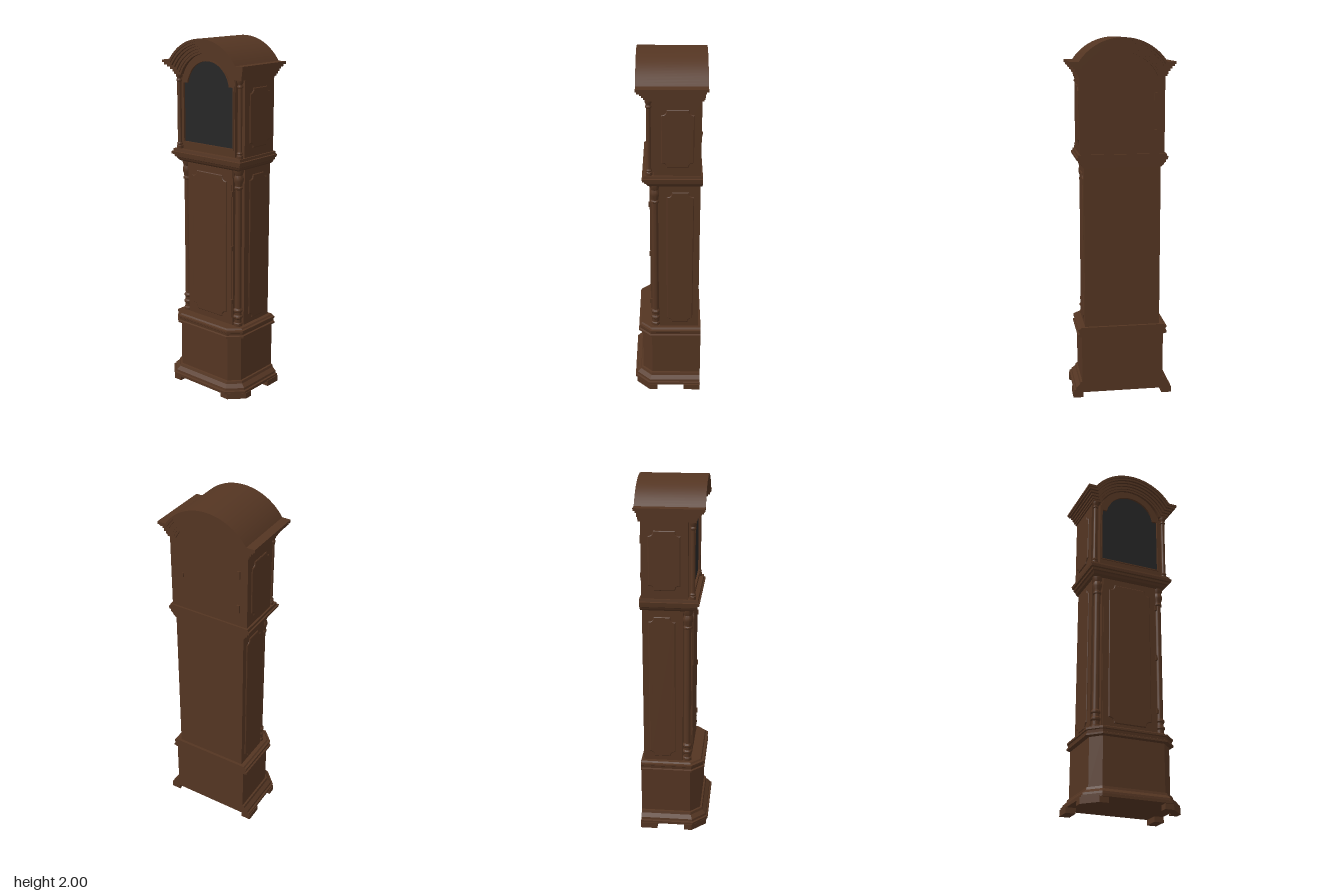
import * as THREE from 'three';
import { toCreasedNormals } from 'three/addons/utils/BufferGeometryUtils.js';

const wood = new THREE.MeshStandardMaterial({ color: 0x543522 });
wood.name = 'walnutWood';
const glass = new THREE.MeshStandardMaterial({ color: 0x262626 });
glass.name = 'darkGlass';

export function createModel() {
  const root = new THREE.Group();
  root.name = 'longcaseClock';

  const add = (name, geo, mat = wood) => {
    const m = new THREE.Mesh(geo, mat);
    m.name = name;
    root.add(m);
    return m;
  };
  // Box given by its limits
  const box = (name, x0, x1, y0, y1, z0, z1, mat) => add(name,
    new THREE.BoxGeometry(x1 - x0, y1 - y0, z1 - z0)
      .translate((x0 + x1) / 2, (y0 + y1) / 2, (z0 + z1) / 2), mat);
  // Shape in the xy plane, extruded from z0 to z1
  const slab = (name, shape, z0, z1, mat) => add(name, toCreasedNormals(
    new THREE.ExtrudeGeometry(shape, { depth: z1 - z0, bevelEnabled: false, curveSegments: 24 })
      .translate(0, 0, z0), 0.5), mat);
  const polygon = pts => new THREE.Shape(pts.map(p => new THREE.Vector2(p[0], p[1])));

  // Stack of sections with optional chamfered front corners; level = [y, growth]
  const stack = (name, w, front, back, chamfer, levels) => {
    const rings = levels.map(([y, g]) => {
      const W = w + g, F = front + g, c = chamfer ? chamfer + g * 0.586 : 0.0001;
      return [[-W, back], [-W, F - c], [-W + c, F], [W - c, F], [W, F - c], [W, back]]
        .map(p => new THREE.Vector3(p[0], y, p[1]));
    });
    const v = [];
    const tri = (a, b, c) => [a, b, c].forEach(p => v.push(p.x, p.y, p.z));
    for (let k = 0; k < rings.length - 1; k++) {
      const lo = rings[k], hi = rings[k + 1];
      for (let i = 0; i < 6; i++) {
        const j = (i + 1) % 6;
        tri(lo[i], lo[j], hi[j]);
        tri(lo[i], hi[j], hi[i]);
      }
    }
    const bottom = rings[0], top = rings[rings.length - 1];
    for (let i = 1; i < 5; i++) {
      tri(top[0], top[i], top[i + 1]);
      tri(bottom[0], bottom[i + 1], bottom[i]);
    }
    const geo = new THREE.BufferGeometry();
    geo.setAttribute('position', new THREE.Float32BufferAttribute(v, 3));
    geo.computeVertexNormals();
    return add(name, geo);
  };

  // Raised panel with hollowed corners, centred on the origin
  const panelGeometry = (w, h, n, depth) => {
    const s = new THREE.Shape();
    s.moveTo(-w + n, -h);
    s.lineTo(w - n, -h);
    s.quadraticCurveTo(w - n, -h + n, w, -h + n);
    s.lineTo(w, h - n);
    s.quadraticCurveTo(w - n, h - n, w - n, h);
    s.lineTo(-w + n, h);
    s.quadraticCurveTo(-w + n, h - n, -w, h - n);
    s.lineTo(-w, -h + n);
    s.quadraticCurveTo(-w + n, -h + n, -w + n, -h);
    return new THREE.ExtrudeGeometry(s, {
      depth: depth / 2, bevelEnabled: true, bevelThickness: depth / 2,
      bevelSize: 0.004, bevelOffset: -0.004, bevelSegments: 1, curveSegments: 5,
    });
  };
  const sidePanels = (name, x, y, z, w, h) => [1, -1].forEach(s => {
    const p = add(name, panelGeometry(w, h, 0.028, 0.006));
    p.rotation.y = s * Math.PI / 2;
    p.position.set(s * x, y, z);
  });
  const columns = (name, x, z, profile) => [1, -1].forEach(s => {
    const pts = profile.map(p => new THREE.Vector2(p[0], p[1]));
    add(name, toCreasedNormals(new THREE.LatheGeometry(pts, 20), 0.6)).position.set(s * x, 0, z);
  });

  // Base: flared plinth, chamfered box and top moulding
  stack('plinth', 0.23, 0.155, -0.18, 0.055,
    [[0.03, 0.046], [0.045, 0.046], [0.048, 0.036], [0.06, 0.034], [0.078, 0.014], [0.092, 0.01], [0.094, 0]]);
  stack('baseBox', 0.23, 0.155, -0.18, 0.055, [[0.09, 0], [0.37, 0]]);
  stack('baseMoulding', 0.23, 0.155, -0.18, 0.055,
    [[0.358, 0.005], [0.362, 0.022], [0.372, 0.022], [0.376, 0.013], [0.39, 0.015],
      [0.394, 0.02], [0.404, 0.02], [0.406, 0.008], [0.414, 0.002]]);

  // Bracket feet
  [1, -1].forEach(s => {
    const foot = polygon([[0.155, -0.192], [0.205, -0.192], [0.281, -0.115], [0.281, -0.07],
      [0.235, -0.07], [0.235, -0.1], [0.19, -0.145], [0.155, -0.145]].map(p => [p[0] * s, p[1]]));
    const g = new THREE.ExtrudeGeometry(foot, { depth: 0.034, bevelEnabled: false });
    add('frontFoot', g.rotateX(-Math.PI / 2));
    box('rearFoot', s > 0 ? 0.225 : -0.281, s > 0 ? 0.281 : -0.225, 0, 0.034, -0.18, -0.085);
  });

  // Trunk with its long door
  box('trunkBody', -0.21, 0.21, 0.405, 1.33, -0.165, 0.055);
  box('trunkFront', -0.165, 0.165, 0.405, 1.33, 0.05, 0.098);
  box('trunkDoor', -0.158, 0.158, 0.42, 1.31, 0.095, 0.102);
  add('trunkDoorPanel', panelGeometry(0.125, 0.412, 0.032, 0.006)).position.set(0, 0.863, 0.102);
  sidePanels('trunkSidePanel', 0.21, 0.858, -0.058, 0.073, 0.418);
  for (const y of [0.555, 0.87, 1.18]) box('trunkDoorHinge', 0.157, 0.167, y - 0.014, y + 0.014, 0.09, 0.112);

  // Turned trunk columns
  columns('trunkColumn', 0.188, 0.079, [
    [0, 0.405], [0.026, 0.405], [0.026, 0.43], [0.021, 0.435], [0.021, 0.455], [0.027, 0.463], [0.027, 0.472],
    [0.021, 0.48], [0.021, 0.495], [0.026, 0.502], [0.026, 0.51], [0.019, 0.52], [0.018, 1.205], [0.024, 1.21],
    [0.024, 1.218], [0.019, 1.224], [0.02, 1.235], [0.027, 1.255], [0.027, 1.27], [0.021, 1.285],
    [0.028, 1.305], [0.028, 1.33]]);

  // Moulding between trunk and hood
  stack('waistMoulding', 0.21, 0.105, -0.175, 0,
    [[1.312, 0], [1.322, 0.012], [1.334, 0.018], [1.338, 0.026], [1.35, 0.028],
      [1.353, 0.038], [1.368, 0.04], [1.37, 0.032], [1.384, 0.03]]);

  // Arched outline of the hood, set inward by d
  const outline = (w, d) => {
    const r = 0.283 - d, cy = 1.717, sy = 1.875 - d;
    const a = Math.asin((sy - cy) / r), pts = [[w, sy]];
    for (let i = 0; i <= 32; i++) {
      const t = a + (Math.PI - 2 * a) * i / 32;
      pts.push([r * Math.cos(t), cy + r * Math.sin(t)]);
    }
    pts.push([-w, sy]);
    return pts;
  };
  slab('hoodBody', polygon([[-0.23, 1.38], [0.23, 1.38], ...outline(0.23, 0.072)]), -0.165, 0.082);

  // Stepped arched cornice: [inset, half width, front, back]
  const steps = [[0, 0.283, 0.17, -0.195], [0.014, 0.276, 0.163, -0.185], [0.026, 0.264, 0.151, -0.18],
    [0.038, 0.254, 0.14, -0.18], [0.052, 0.245, 0.13, -0.178], [0.066, 0.238, 0.124, -0.175]];
  steps.forEach(([d, w, front, back], i) => {
    const next = i < steps.length - 1 ? steps[i + 1][0] : 0.078;
    slab('hoodCornice', polygon([...outline(w, d), ...outline(w, next).reverse()]), back, front);
  });

  // Arched hood door with glass
  const arch = (w, y0, shoulder, chord, r, cy) => {
    const pts = [[-w, y0], [w, y0], [w, shoulder], [chord, shoulder]];
    const a = Math.acos(chord / r);
    for (let i = 0; i <= 32; i++) {
      const t = a + (Math.PI - 2 * a) * i / 32;
      pts.push([r * Math.cos(t), cy + r * Math.sin(t)]);
    }
    pts.push([-chord, shoulder], [-w, shoulder]);
    return pts;
  };
  const opening = (g) => arch(0.175 + g, 1.43 - g, 1.755 + g, 0.148 + g, 0.15 + g, 1.73);
  const frame = (outer, inner) => {
    const s = polygon(outer);
    s.holes.push(new THREE.Path(inner.map(p => new THREE.Vector2(p[0], p[1]))));
    return s;
  };
  slab('hoodDoorFrame', frame(arch(0.188, 1.385, 1.79, 0.186, 0.192, 1.73), opening(0)), 0.08, 0.112);
  slab('hoodDoorBead', frame(opening(0.007), opening(0)), 0.11, 0.117);
  slab('hoodGlass', polygon(opening(0.002)), 0.1, 0.106, glass);

  // Free-standing hood columns
  columns('hoodColumn', 0.217, 0.107, [
    [0, 1.382], [0.018, 1.382], [0.018, 1.4], [0.014, 1.404], [0.017, 1.412], [0.012, 1.42], [0.012, 1.755],
    [0.016, 1.76], [0.016, 1.766], [0.012, 1.772], [0.013, 1.778], [0.018, 1.787], [0.018, 1.802]]);
  sidePanels('hoodSidePanel', 0.23, 1.59, -0.042, 0.085, 0.16);

  // Hinges and latch on the back of the hood
  for (const y of [1.49, 1.69]) box('backHinge', -0.187, -0.17, y - 0.022, y + 0.022, -0.174, -0.163);
  box('backLatch', 0.153, 0.161, 1.575, 1.6, -0.172, -0.163);

  return root;
}
